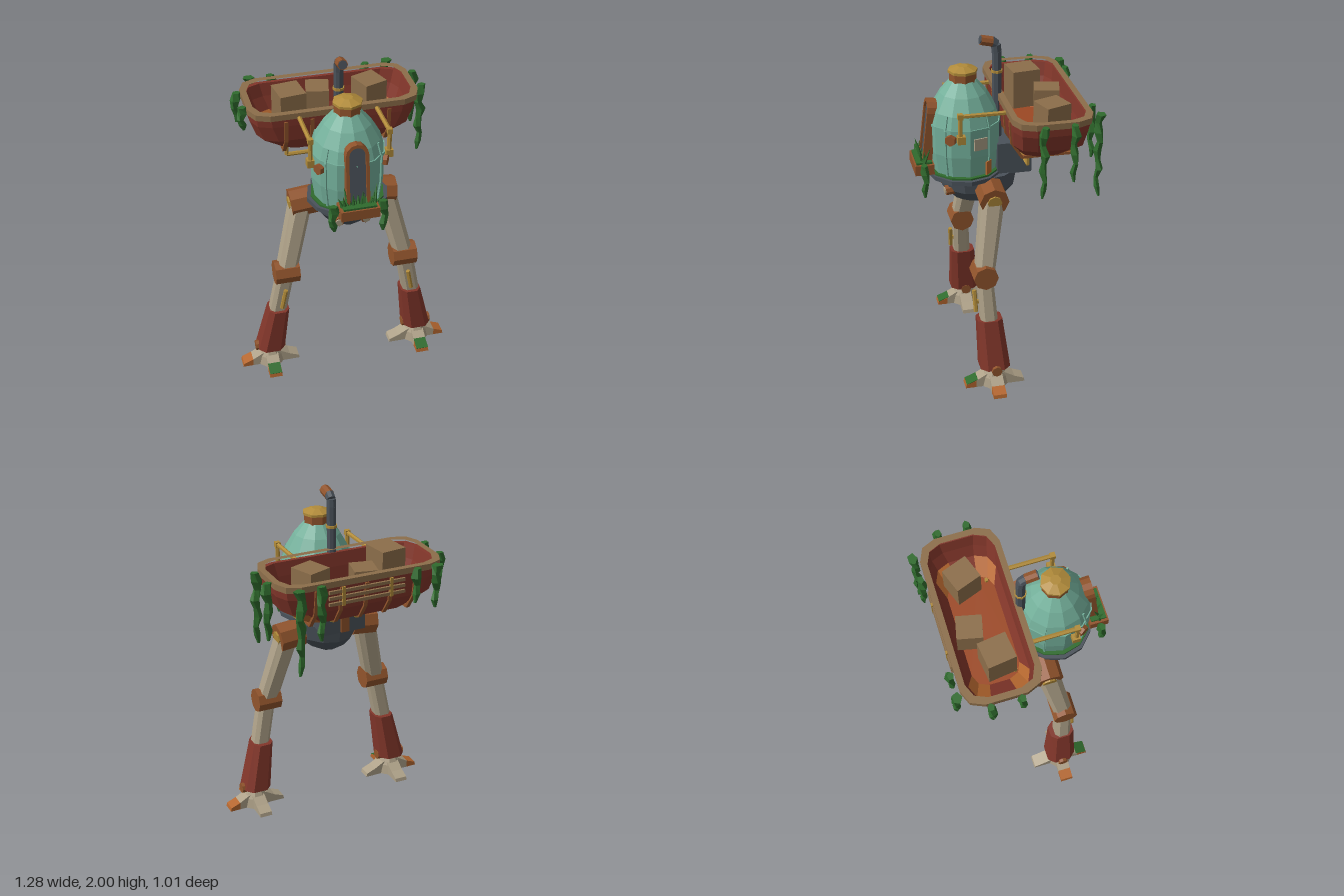
import * as THREE from 'three';

const mat = (name, color) => Object.assign(new THREE.MeshStandardMaterial({ color }), { name });
const M = {
  teal: mat('teal paint', 0x74b09b), slate: mat('slate metal', 0x4a525a), copper: mat('copper', 0x91542c),
  red: mat('dull red', 0x82362a), bone: mat('bone plating', 0xaea188), wood: mat('wood', 0x8c6e4a),
  gold: mat('brass', 0xb18b3a), green: mat('leaf green', 0x2f6b2d), orange: mat('orange rust', 0xb5672f),
  rust: mat('rust floor', 0x9c4823),
};
const V = (a) => new THREE.Vector3(...a);

// Adds a faceted mesh
function add(parent, name, geo, m, pos = [0, 0, 0], rot = [0, 0, 0]) {
  const g = geo.index ? geo.toNonIndexed() : geo;
  g.computeVertexNormals();
  const mesh = new THREE.Mesh(g, M[m]);
  mesh.name = name;
  mesh.position.set(...pos);
  mesh.rotation.set(...rot);
  parent.add(mesh);
  return mesh;
}
const box = (parent, name, m, size, pos, rot) => add(parent, name, new THREE.BoxGeometry(...size), m, pos, rot);

// Cylinder between two points
function rod(parent, name, m, p, q, r, n = 8, r2 = r) {
  const a = V(p), b = V(q), d = b.clone().sub(a);
  const mesh = add(parent, name, new THREE.CylinderGeometry(r2, r, d.length(), n), m);
  mesh.position.copy(a).add(b).multiplyScalar(0.5);
  mesh.quaternion.setFromUnitVectors(new THREE.Vector3(0, 1, 0), d.normalize());
}
function pipe(parent, name, m, pts, r, n = 6) {
  for (let i = 1; i < pts.length; i++) rod(parent, name, m, pts[i - 1], pts[i], r, n);
}
function extrude(pts, depth, hole) {
  const s = new THREE.Shape(pts.map((p) => new THREE.Vector2(...p)));
  if (hole) s.holes.push(new THREE.Path(hole.map((p) => new THREE.Vector2(...p))));
  return new THREE.ExtrudeGeometry(s, { depth, bevelEnabled: false });
}

// Horizontal cross-sections
const ngon = (x, y, z, rx, rz, n, turn = 0) => Array.from({ length: n }, (_, i) => {
  const a = (i + turn) / n * Math.PI * 2;
  return [x + rx * Math.cos(a), y, z + rz * Math.sin(a)];
});
const octagon = (x, y, z, hx, hz, c = 0.55) => [[1, -c], [1, c], [c, 1], [-c, 1], [-1, c], [-1, -c], [-c, -1], [c, -1]]
  .map(([u, v]) => [x + u * hx, y, z + v * hz]);
function roundRect(hx, z0, z1, y, r) {
  const out = [], k = r * 0.3;
  const quarter = [[0, r], [k, k], [r, 0]];
  const corners = [[1, 1], [-1, 1], [-1, -1], [1, -1]];
  corners.forEach(([sx, sz], i) => {
    const q = i % 2 ? [...quarter].reverse() : quarter;
    q.forEach(([u, v]) => out.push([sx * (hx - u), y, sz > 0 ? z1 - v : z0 + v]));
  });
  return out;
}
// Skins a stack of rings, capping both ends; pick chooses a colour per face
function loft(parent, name, rings, pick) {
  const choose = typeof pick === 'string' ? () => pick : pick;
  const buckets = {}, n = rings[0].length, last = rings.length - 1;
  const tri = (m, ...p) => (buckets[m] ??= []).push(...p.flat());
  for (let j = 0; j < last; j++) for (let i = 0; i < n; i++) {
    const k = (i + 1) % n, a = rings[j][i], b = rings[j][k], c = rings[j + 1][k], d = rings[j + 1][i];
    const m = choose(j, i);
    tri(m, a, d, c);
    tri(m, a, c, b);
  }
  for (let i = 1; i < n - 1; i++) {
    tri(choose(-1, i), rings[0][0], rings[0][i], rings[0][i + 1]);
    tri(choose(last, i), rings[last][0], rings[last][i + 1], rings[last][i]);
  }
  for (const m in buckets) {
    const g = new THREE.BufferGeometry();
    g.setAttribute('position', new THREE.Float32BufferAttribute(buckets[m], 3));
    add(parent, name, g, m);
  }
}

// Ragged hanging vine
function vine(parent, x, z, top, bottom, w = 0.032) {
  const n = Math.max(4, Math.round((top - bottom) / 0.055)), rings = [];
  for (let i = 0; i <= n; i++) {
    const t = i / n, s = w * (0.35 + 0.65 * Math.sqrt(t)) * (i % 2 ? 1 : 0.68);
    const sway = 0.011 * Math.sin(i * 2.1 + x * 9 + z * 5);
    rings.push(ngon(x + sway, bottom + (top - bottom) * t, z - sway * 0.6, s, s * 0.8, 5, i * 0.25));
  }
  loft(parent, 'vine', rings, 'green');
}

function buildBody(g) {
  const cz = 0.2;
  loft(g, 'lowerDome', [[1.005, 0.07, 0.11], [1.04, 0.13, 0.165], [1.1, 0.175, 0.215], [1.2, 0.19, 0.235]]
    .map(([y, rx, rz]) => ngon(0, y, 0.115, rx, rz, 12)), (j, i) => (j === 0 && (i === 2 || i === 4) ? 'copper' : 'slate'));
  loft(g, 'cabin', [[1.19, 0.185], [1.35, 0.208], [1.51, 0.21], [1.59, 0.187], [1.68, 0.135], [1.75, 0.075]]
    .map(([y, r]) => ngon(0, y, cz, r, r, 12)), 'teal');
  loft(g, 'cabinBand', [1.505, 1.52].map((y) => ngon(0, y, cz, 0.214, 0.214, 12)), 'teal');
  for (const a of [0.7, 2.44, 3.7, 5.7]) {
    const p = (r, y) => [r * Math.cos(a), y, cz + r * Math.sin(a)];
    pipe(g, 'cabinSeam', 'teal', [p(0.187, 1.2), p(0.206, 1.35), p(0.208, 1.51), p(0.185, 1.59)], 0.008, 4);
  }
  loft(g, 'deckRing', [1.19, 1.215].map((y) => ngon(0, y, cz, 0.235, 0.22, 12)), 'slate');
  loft(g, 'mossRing', [1.212, 1.225].map((y) => ngon(0, y, cz, 0.212, 0.212, 12)), 'green');
  rod(g, 'hatchCollar', 'copper', [0, 1.735, cz], [0, 1.795, cz], 0.078);
  rod(g, 'hatchRim', 'gold', [0, 1.795, cz], [0, 1.81, cz], 0.085);
  rod(g, 'hatchLid', 'gold', [0, 1.81, cz], [0, 1.83, cz], 0.085, 8, 0.03);
  box(g, 'repairPatch', 'bone', [0.008, 0.07, 0.08], [0.2, 1.43, 0.14], [0, 0.26, 0]);
  box(g, 'rustPatch', 'orange', [0.008, 0.08, 0.05], [0.172, 1.27, 0.09], [0, 0.79, 0]);

  // Arched door
  const arch = (w, y0, h) => {
    const pts = [[-w, y0], [w, y0]];
    for (let i = 0; i <= 6; i++) pts.push([w * Math.cos(i * Math.PI / 6), h + w * Math.sin(i * Math.PI / 6)]);
    return pts;
  };
  add(g, 'doorFrame', extrude(arch(0.066, 0, 0.3), 0.055, arch(0.047, 0.01, 0.3).reverse()), 'copper', [0, 1.28, 0.398], [-0.12, 0, 0]);
  add(g, 'doorPanel', extrude(arch(0.05, 0.005, 0.3), 0.045), 'slate', [0, 1.28, 0.396], [-0.12, 0, 0]);

  // Planter with grass and trailing plants
  box(g, 'planter', 'copper', [0.22, 0.06, 0.11], [0, 1.255, 0.445]);
  box(g, 'planterMoss', 'green', [0.19, 0.02, 0.09], [0, 1.287, 0.445]);
  for (let i = 0; i < 13; i++) {
    const x = -0.09 + i * 0.015, h = 0.06 + 0.05 * ((i * 7) % 5) / 4;
    rod(g, 'grassBlade', 'green', [x, 1.28, 0.45], [x * 1.25, 1.28 + h, 0.44 + 0.03 * Math.sin(i * 2)], 0.013, 4, 0.001);
  }
  vine(g, -0.145, 0.45, 1.3, 1.13, 0.036);
  vine(g, 0.145, 0.45, 1.3, 1.1, 0.036);

  // Chimney
  rod(g, 'chimney', 'slate', [0, 1.3, 0.005], [0, 1.9, 0.005], 0.028);
  pipe(g, 'chimneyElbow', 'slate', [[0, 1.89, 0.005], [0, 1.94, 0.01], [0, 1.965, 0.04]], 0.028, 8);
  rod(g, 'chimneySpout', 'copper', [0, 1.957, 0.03], [0, 1.972, 0.097], 0.03);
  rod(g, 'chimneyMouth', 'slate', [0, 1.972, 0.096], [0, 1.973, 0.101], 0.026);
  rod(g, 'chimneyBand', 'gold', [0, 1.775, 0.005], [0, 1.79, 0.005], 0.034);

  // Engine block behind the cabin
  box(g, 'engineBlock', 'slate', [0.26, 0.19, 0.2], [0, 1.29, -0.07]);
  box(g, 'engineStrip', 'copper', [0.05, 0.18, 0.012], [0, 1.29, -0.174]);
  for (const s of [-1, 1]) {
    rod(g, 'dial', 'gold', [s * 0.075, 1.3, -0.165], [s * 0.075, 1.3, -0.182], 0.025);
    const d = [s * 0.866, 0.5], at = (r) => [d[0] * r, 1.465, cz + d[1] * r];
    rod(g, 'porthole', 'copper', at(0.19), at(0.232), 0.032, 6);
    rod(g, 'lampRim', 'copper', [s * 0.075, 1.105, 0.27], [s * 0.079, 1.1, 0.325], 0.03);
    rod(g, 'lamp', 'bone', [s * 0.079, 1.1, 0.32], [s * 0.08, 1.099, 0.332], 0.022);
    pipe(g, 'steamPipe', 'gold', [[s * 0.225, 1.46, 0.26], [s * 0.225, 1.62, 0.26], [s * 0.225, 1.62, -0.01]], 0.013);
    box(g, 'pipeCollar', 'gold', [0.04, 0.045, 0.045], [s * 0.225, 1.48, 0.255]);
    box(g, 'pipeElbow', 'gold', [0.03, 0.03, 0.03], [s * 0.225, 1.62, 0.26]);
    pipe(g, 'drainPipe', 'gold', [[s * 0.12, 1.32, -0.11], [s * 0.28, 1.32, -0.11], [s * 0.28, 1.42, -0.11]], 0.012);
  }
}

function buildCargo(g) {
  const corner = (i) => i % 3 !== 2;
  loft(g, 'cargoTub', [
    roundRect(0.32, -0.36, -0.07, 1.38, 0.09), roundRect(0.45, -0.42, -0.015, 1.47, 0.11),
    roundRect(0.487, -0.437, -0.005, 1.57, 0.11), roundRect(0.492, -0.442, -0.002, 1.63, 0.11),
    roundRect(0.468, -0.42, -0.025, 1.63, 0.1), roundRect(0.45, -0.41, -0.035, 1.55, 0.1),
    roundRect(0.42, -0.39, -0.04, 1.47, 0.1), roundRect(0.32, -0.35, -0.075, 1.4, 0.08),
  ], (j, i) => (j === 7 ? 'rust' : (j === 6 && corner(i)) || (j === 0 && (i === 9 || i === 10 || i === 4)) ? 'orange' : 'red'));
  const flat = (r) => r.map(([x, , z]) => [x, -z]);
  const rim = extrude(flat(roundRect(0.5, -0.45, 0.005, 0, 0.11)), 0.035, flat(roundRect(0.464, -0.415, -0.03, 0, 0.1)));
  add(g, 'cargoRim', rim, 'wood', [0, 1.617, 0], [-Math.PI / 2, 0, 0]);

  // Straps following the hull
  const prof = [[-0.435, 1.61], [-0.43, 1.57], [-0.413, 1.47], [-0.355, 1.385], [-0.075, 1.385], [-0.022, 1.47], [-0.012, 1.6]];
  const out = [[-0.45, 1.61], [-0.446, 1.57], [-0.43, 1.465], [-0.363, 1.37], [-0.067, 1.37], [-0.006, 1.465], [0.004, 1.6]];
  for (const x of [-0.3, -0.15, 0, 0.15, 0.3])
    add(g, 'hullStrap', extrude([...out, ...[...prof].reverse()].map(([z, y]) => [-z, y]), 0.022), 'copper', [x - 0.011, 0, 0], [0, Math.PI / 2, 0]);
  for (const y of [1.52, 1.555, 1.59]) box(g, 'backSlat', 'wood', [0.46, 0.018, 0.014], [0, y, -0.45]);
  for (const s of [-1, 1]) box(g, 'slatBracket', 'gold', [0.018, 0.11, 0.01], [s * 0.145, 1.56, -0.455]);

  // Crates
  for (const [x, z, w, top, r] of [[-0.24, -0.2, 0.155, 1.695, 0.13], [-0.05, -0.3, 0.135, 1.64, -0.22], [0.25, -0.255, 0.145, 1.67, 0.35]])
    box(g, 'crate', 'wood', [w, top - 1.47, w + 0.01], [x, (top + 1.47) / 2, z], [0, r, 0]);

  for (const [x, z, bottom] of [[0.525, -0.14, 1.22], [0.53, -0.31, 1.31], [0.41, -0.48, 1.15], [0.285, -0.475, 1.33],
    [-0.525, -0.14, 1.5], [-0.53, -0.31, 1.46], [-0.41, -0.48, 1.4], [-0.29, -0.475, 1.45]]) vine(g, x, z, 1.65, bottom, 0.036);
}

function buildLeg(g, s) {
  rod(g, 'hip', 'copper', [s * 0.16, 1.125, 0.085], [s * 0.31, 1.11, 0.085], 0.085);
  rod(g, 'hipCap', 'gold', [s * 0.3, 1.112, 0.085], [s * 0.32, 1.11, 0.085], 0.042);
  loft(g, 'thigh', [octagon(s * 0.355, 0.7, 0.157, 0.058, 0.055), octagon(s * 0.25, 1.12, 0.088, 0.062, 0.068)], 'bone');
  rod(g, 'knee', 'copper', [s * 0.285, 0.688, 0.16], [s * 0.43, 0.688, 0.16], 0.072);
  loft(g, 'shin', [octagon(s * 0.42, 0.38, 0.145, 0.05, 0.05), octagon(s * 0.362, 0.69, 0.16, 0.05, 0.045)], 'bone');
  rod(g, 'shinPiston', 'gold', [s * 0.4, 0.46, 0.217], [s * 0.375, 0.59, 0.222], 0.013, 6);
  box(g, 'pistonMount', 'gold', [0.015, 0.02, 0.05], [s * 0.388, 0.52, 0.2]);
  loft(g, 'shinGuard', [octagon(s * 0.462, 0.125, 0.125, 0.08, 0.088), octagon(s * 0.41, 0.42, 0.143, 0.06, 0.073)], 'red');
  rod(g, 'ankle', 'copper', [s * 0.375, 0.125, 0.125], [s * 0.555, 0.125, 0.125], 0.031);

  // Four-toed foot
  const foot = new THREE.Group();
  foot.name = 'foot';
  foot.position.set(s * 0.465, 0, 0.125);
  g.add(foot);
  loft(foot, 'footHub', [ngon(0, 0, 0, 0.085, 0.085, 8, 0.5), ngon(0, 0.06, 0, 0.075, 0.075, 8, 0.5), ngon(0, 0.12, 0, 0.045, 0.045, 8, 0.5)], 'bone');
  const root = [[0, 0], [0.115, 0], [0.115, 0.045], [0.055, 0.08], [0, 0.08]];
  const tip = [[0.115, 0], [0.177, 0], [0.172, 0.022], [0.115, 0.045]];
  const outward = s > 0 ? 0 : 2;
  for (let k = 0; k < 4; k++) {
    const a = k * Math.PI / 2, off = [-0.038 * Math.sin(a), 0, -0.038 * Math.cos(a)];
    add(foot, 'toe', extrude(root, 0.076), 'bone', off, [0, a, 0]);
    add(foot, 'toeTip', extrude(tip, 0.076), k === outward || k === 3 ? 'orange' : 'bone', off, [0, a, 0]);
  }
  box(foot, 'toeMoss', 'green', [0.074, 0.006, 0.072], [0, 0.036, 0.138], [0.38, 0, 0]);
}

export function createModel() {
  const model = new THREE.Group();
  model.name = 'walker';
  const part = (name, build, ...args) => {
    const g = new THREE.Group();
    g.name = name;
    build(g, ...args);
    model.add(g);
  };
  part('body', buildBody);
  part('cargo', buildCargo);
  part('leftLeg', buildLeg, 1);
  part('rightLeg', buildLeg, -1);
  return model;
}
